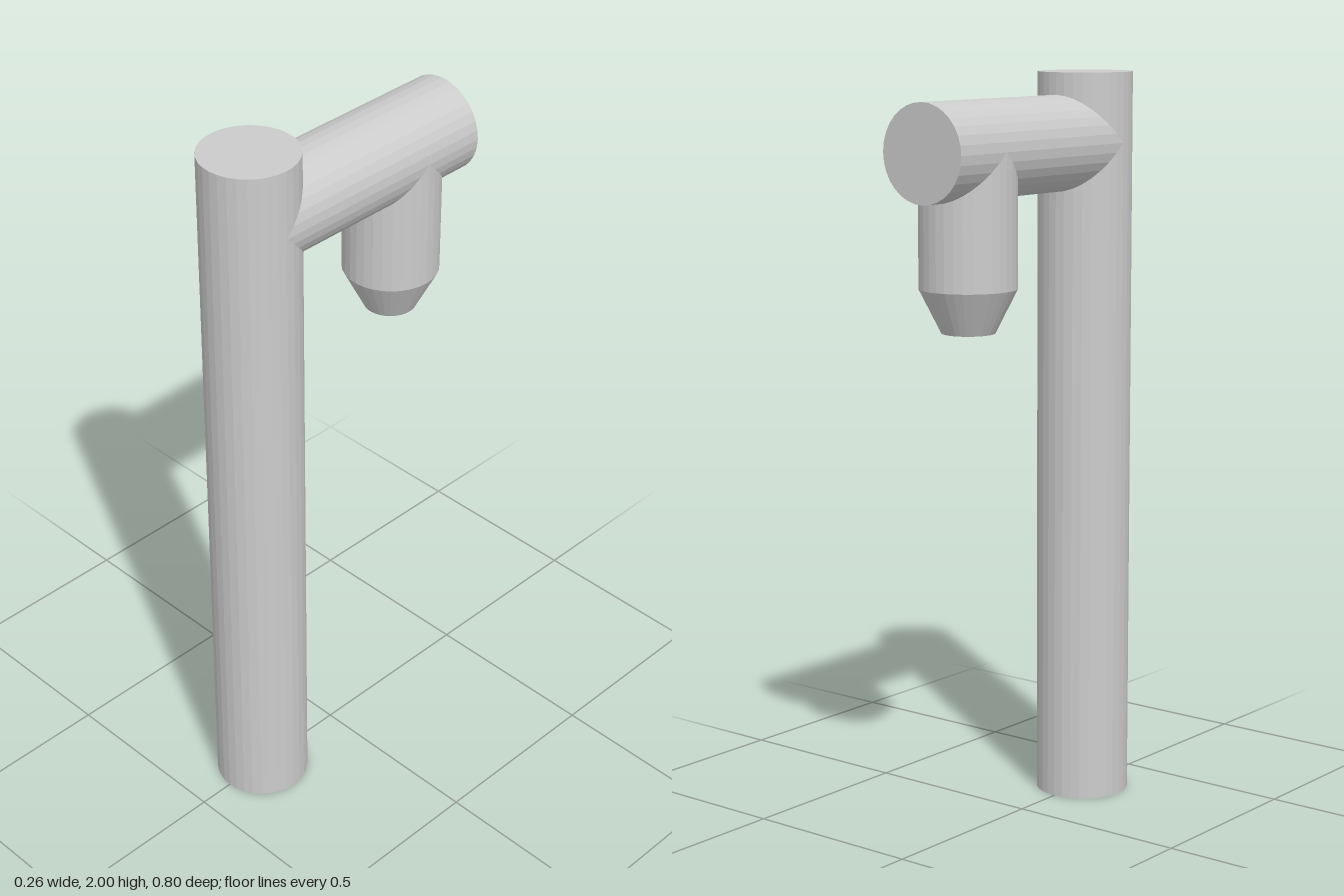
import * as THREE from 'three';

const R = 0.128;      // shared pipe radius
const SIDES = 32;
const POST_Z = 0.273;
const ARM_Y = 1.813;
const SPOUT_Z = -0.222;

export function createModel() {
  const group = new THREE.Group();
  const material = new THREE.MeshStandardMaterial({ color: 0xcccccc, flatShading: true });

  const addPipe = (name, rTop, rBottom, length, y, z, open = false) => {
    const geometry = new THREE.CylinderGeometry(rTop, rBottom, length, SIDES, 1, open);
    const mesh = new THREE.Mesh(geometry, material);
    mesh.name = name;
    mesh.position.set(0, y, z);
    group.add(mesh);
    return mesh;
  };

  // Tall upright post
  addPipe('post', R, R, 2, 1, POST_Z);

  // Horizontal arm from the post axis to the back
  const armEnd = -0.401;
  const arm = addPipe('arm', R, R, POST_Z - armEnd, ARM_Y, (POST_Z + armEnd) / 2);
  arm.rotation.x = Math.PI / 2;

  // Hanging spout with a tapered tip
  const spoutBottom = 1.46, tipBottom = 1.345;
  addPipe('spout', R, R, ARM_Y - spoutBottom, (ARM_Y + spoutBottom) / 2, SPOUT_Z);
  addPipe('spoutTip', R, 0.07, spoutBottom - tipBottom, (spoutBottom + tipBottom) / 2, SPOUT_Z);

  return group;
}
